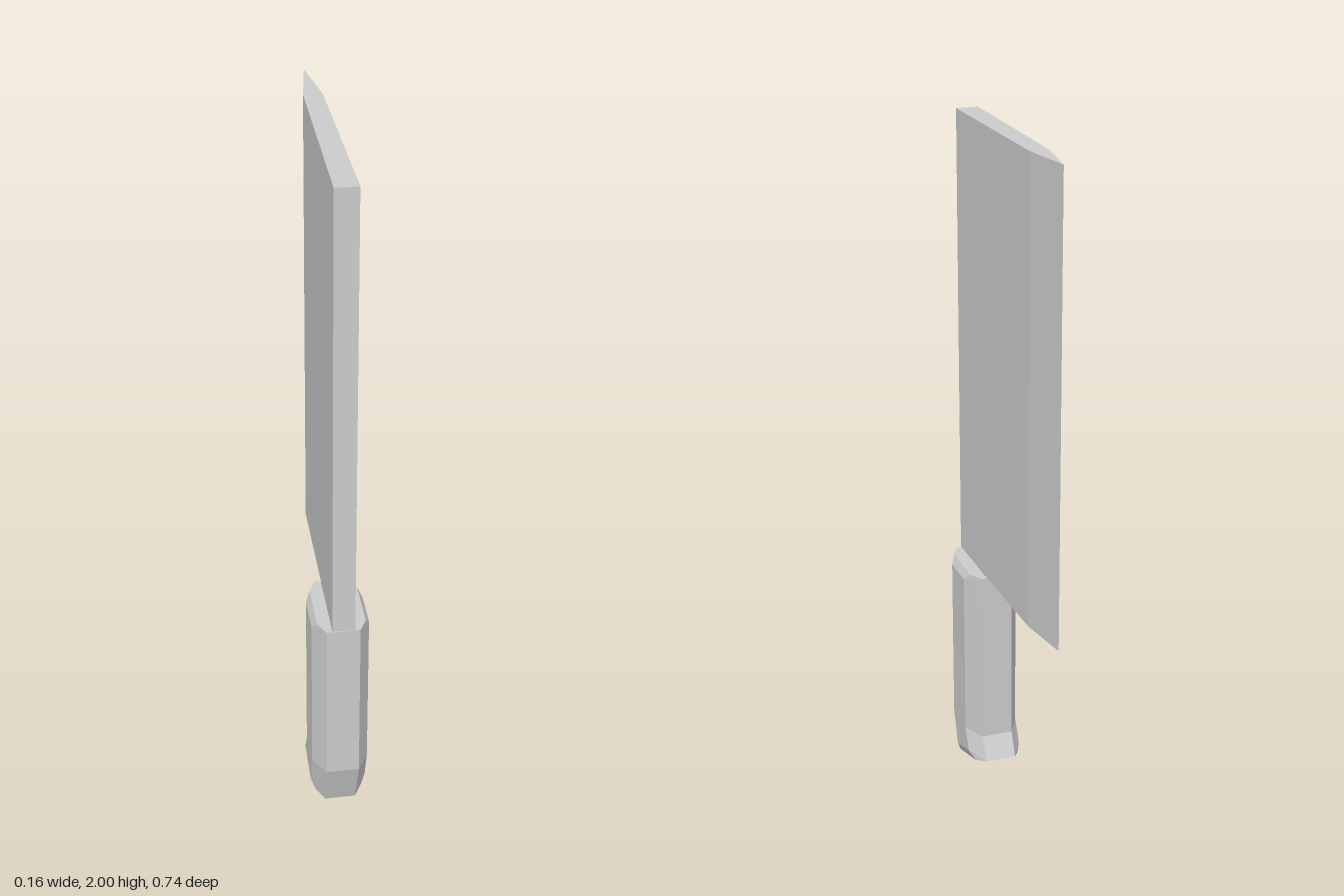
import * as THREE from 'three';

// Joins closed rings of [x, y, z], listed bottom to top, counter-clockwise from above
function loft(rings) {
  const n = rings[0].length, last = rings[rings.length - 1], out = [];
  const tri = (a, b, c) => out.push(...a, ...b, ...c);
  for (let r = 0; r < rings.length - 1; r++) {
    const a = rings[r], b = rings[r + 1];
    for (let i = 0; i < n; i++) {
      const j = (i + 1) % n;
      tri(a[i], a[j], b[j]);
      tri(a[i], b[j], b[i]);
    }
  }
  for (let i = 1; i < n - 1; i++) {
    tri(rings[0][0], rings[0][i + 1], rings[0][i]);
    tri(last[0], last[i], last[i + 1]);
  }
  const geo = new THREE.BufferGeometry();
  geo.setAttribute('position', new THREE.Float32BufferAttribute(out, 3));
  geo.computeVertexNormals();
  return geo;
}

// Mirrors one side of a ring, dropping duplicates on the centre line
function mirrorRing(half) {
  const other = half.filter(p => p[0] > 0).map(([x, y, z]) => [-x, y, z]).reverse();
  return [...half, ...other];
}

export function createModel() {
  const group = new THREE.Group();
  const material = new THREE.MeshStandardMaterial({ color: 0xcccccc, flatShading: true });
  const add = (name, geometry) => {
    const mesh = new THREE.Mesh(geometry, material);
    mesh.name = name;
    group.add(mesh);
  };

  // Blade: thick spine at the front, ground to a sharp edge at the back
  const bladeRing = y => mirrorRing([[0.032, y, 0.37], [0.026, y, -0.2], [0, y, -0.37]]);
  add('blade', loft([bladeRing(0.665), bladeRing(2)]));

  // Handle: eight-sided grip with a bent, slanted butt and bevelled ends
  // Each ring: half widths of the narrow and wide corners, then [z, y] from front to back
  const handleRing = (narrow, wide, [p, q, r, s]) => mirrorRing([
    [narrow, p[1], p[0]], [wide, q[1], q[0]], [wide, r[1], r[0]], [narrow, s[1], s[0]],
  ]);
  add('handle', loft([
    handleRing(0.045, 0.068, [[0.322, 0], [0.287, 0.01], [0.14, 0.053], [0.1, 0.065]]),
    handleRing(0.045, 0.081, [[0.322, 0], [0.275, 0.042], [0.165, 0.074], [0.1, 0.065]]),
    handleRing(0.047, 0.081, [[0.37, 0.149], [0.308, 0.145], [0.197, 0.137], [0.135, 0.133]]),
    handleRing(0.047, 0.081, [[0.37, 0.663], [0.308, 0.64], [0.197, 0.64], [0.135, 0.663]]),
    handleRing(0.047, 0.068, [[0.37, 0.663], [0.33, 0.663], [0.175, 0.663], [0.135, 0.663]]),
  ]));
  // Hidden tang closes the join between blade and handle
  const tang = new THREE.BoxGeometry(0.06, 0.04, 0.22);
  tang.translate(0, 0.66, 0.253);
  add('tang', tang);

  return group;
}
